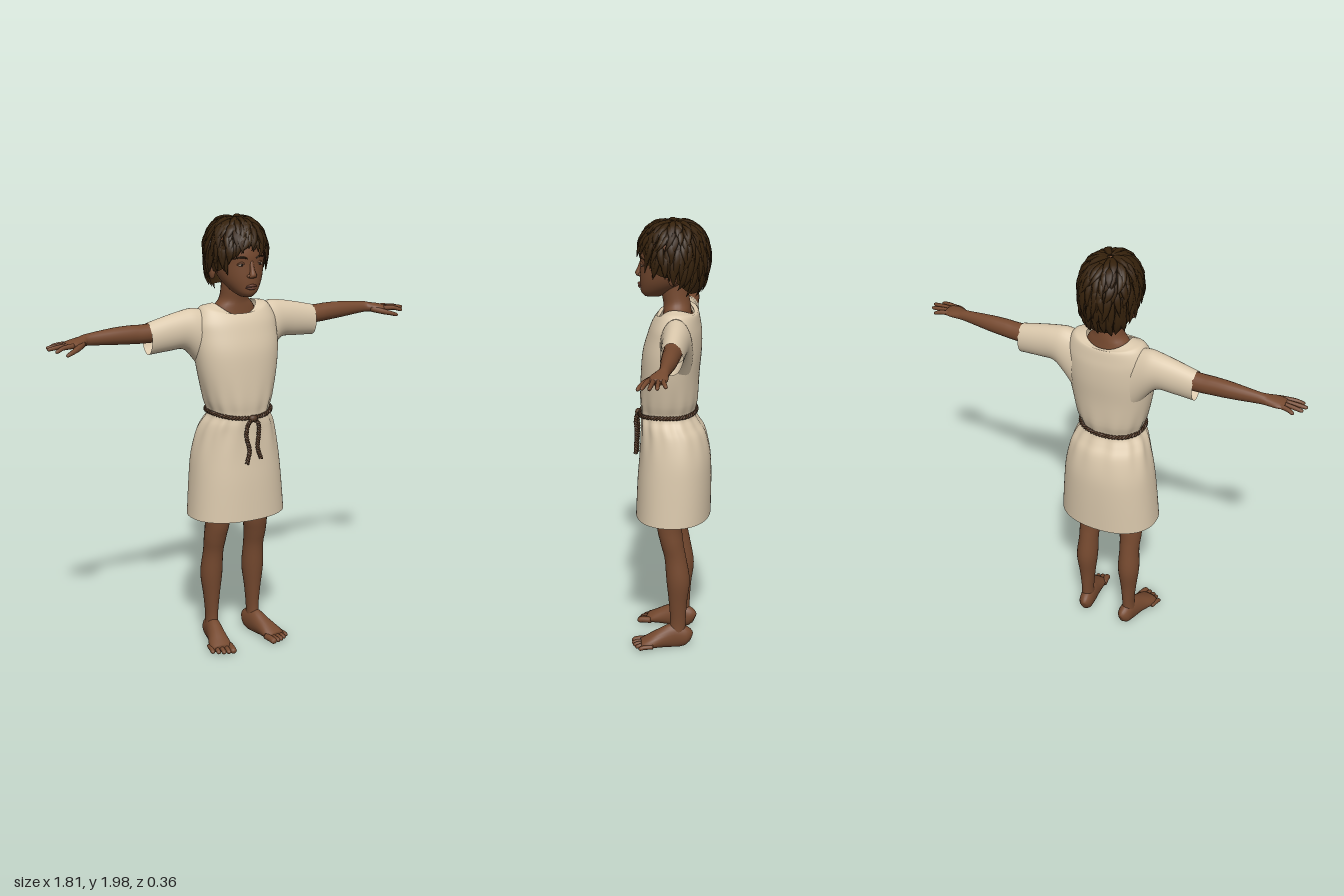
import * as THREE from 'three';
import { mergeGeometries } from 'three/addons/utils/BufferGeometryUtils.js';

const V = (x, y, z) => new THREE.Vector3(x, y, z);
const mat = (name, color, side = THREE.FrontSide) => {
  const m = new THREE.MeshStandardMaterial({ color, side });
  m.name = name;
  return m;
};

// Catmull-Rom refinement of rows of numbers
function smooth(rows, k) {
  const out = [];
  const at = (i) => rows[Math.max(0, Math.min(rows.length - 1, i))];
  for (let i = 0; i < rows.length - 1; i++) {
    for (let s = 0; s < k; s++) {
      const t = s / k;
      out.push(rows[i].map((p1, c) => {
        const p0 = at(i - 1)[c], p2 = at(i + 1)[c], p3 = at(i + 2)[c];
        return p1 + 0.5 * t * (p2 - p0 + t * (2 * p0 - 5 * p1 + 4 * p2 - p3 + t * (3 * (p1 - p2) + p3 - p0)));
      }));
    }
  }
  out.push(rows[rows.length - 1]);
  return out;
}

// Skin closed rings of points, with optional end caps
function loft(rings, capped = true) {
  const n = rings[0].length, pos = [], idx = [];
  rings.forEach((r) => r.forEach((p) => pos.push(p.x, p.y, p.z)));
  for (let i = 0; i < rings.length - 1; i++) {
    for (let j = 0; j < n; j++) {
      const a = i * n + j, b = i * n + (j + 1) % n, c = a + n, d = b + n;
      idx.push(a, c, b, b, c, d);
    }
  }
  if (capped) {
    [0, rings.length - 1].forEach((ri) => {
      const m = rings[ri].reduce((s, p) => s.add(p), V(0, 0, 0)).divideScalar(n);
      const ci = pos.length / 3;
      pos.push(m.x, m.y, m.z);
      for (let j = 0; j < n; j++) {
        const a = ri * n + j, b = ri * n + (j + 1) % n;
        if (ri === 0) idx.push(ci, a, b); else idx.push(ci, b, a);
      }
    });
  }
  const g = new THREE.BufferGeometry();
  g.setAttribute('position', new THREE.Float32BufferAttribute(pos, 3));
  g.setIndex(idx);
  g.computeVertexNormals();
  return g;
}

// Sweep an ellipse through stations [x, y, z, sideRadius, upRadius]
function sweep(stations, { up = V(0, 1, 0), n = 12, k = 4, capped = true, axis = null, floor = -1 } = {}) {
  const st = smooth(stations, k), P = st.map((s) => V(s[0], s[1], s[2]));
  return loft(st.map((s, i) => {
    const t = axis || P[Math.min(i + 1, P.length - 1)].clone().sub(P[Math.max(i - 1, 0)]).normalize();
    const u = t.clone().cross(up).normalize(), v = u.clone().cross(t);
    return Array.from({ length: n }, (_, j) => {
      const a = j / n * Math.PI * 2;
      const p = P[i].clone().addScaledVector(u, s[3] * Math.cos(a)).addScaledVector(v, s[4] * Math.sin(a));
      p.y = Math.max(p.y, floor);
      return p;
    });
  }), capped);
}

// Horizontal ring from [y, halfWidth, zFront, zBack, frontDip, backDip]
const pw = (v, e) => Math.sign(v) * Math.abs(v) ** e;
function ringY([y, w, zf, zb, df = 0, db = 0], n, e = 1, fold = 0) {
  return Array.from({ length: n }, (_, j) => {
    const a = j / n * Math.PI * 2, s = Math.sin(a), c = Math.cos(a);
    const r = 1 + fold * (Math.cos(13 * a) + 0.6 * Math.sin(8 * a));
    return V(w * r * pw(c, e), y - (s > 0 ? df : db) * s * s, (zf + zb) / 2 + (zf - zb) / 2 * r * pw(s, e));
  });
}

function mirrored(g) {
  const m = g.clone().scale(-1, 1, 1), ix = m.index.array;
  for (let i = 0; i < ix.length; i += 3) [ix[i], ix[i + 1]] = [ix[i + 1], ix[i]];
  return m;
}

const ball = (x, y, z, rx, ry, rz) => new THREE.SphereGeometry(1, 16, 12).scale(rx, ry, rz).translate(x, y, z);

export function createModel() {
  const skin = mat('skin', 0x75492f), cloth = mat('linen', 0xdac8ac, THREE.DoubleSide);
  const hairMat = mat('hair', 0x35210b, THREE.DoubleSide), ropeMat = mat('rope', 0x543a28);
  const lipMat = mat('lips', 0x643a2a), eyeMat = mat('eye white', 0x9c8672), irisMat = mat('iris', 0x21140d);
  const model = new THREE.Group();
  const add = (name, g, m) => {
    const mesh = new THREE.Mesh(g, m);
    mesh.name = name;
    model.add(mesh);
  };
  const pair = (name, g, m) => {
    add('left' + name, g, m);
    add('right' + name, mirrored(g), m);
  };

  // Tunic, gathered at the waist and open at collar and hem
  const tunic = [
    [0.63, 0.23, 0.165, -0.175, 0, 0], [0.8, 0.217, 0.157, -0.177, 0, 0], [0.92, 0.204, 0.147, -0.172, 0, 0],
    [1.02, 0.182, 0.141, -0.15, 0, 0], [1.07, 0.163, 0.14, -0.12, 0, 0], [1.115, 0.14, 0.138, -0.1, 0, 0],
    [1.18, 0.16, 0.143, -0.114, 0, 0], [1.3, 0.187, 0.139, -0.121, 0, 0], [1.4, 0.2, 0.13, -0.13, 0, 0],
    [1.48, 0.2, 0.108, -0.13, 0, 0], [1.53, 0.195, 0.09, -0.123, 0, 0], [1.585, 0.165, 0.07, -0.115, 0.025, 0.015],
    [1.597, 0.13, 0.062, -0.105, 0.04, 0.025], [1.602, 0.1, 0.055, -0.095, 0.05, 0.03]];
  add('tunic', loft(smooth(tunic, 4).map((r) =>
    ringY(r, 96, 0.9, 0.022 * Math.exp(-(((r[0] - 1.09) / 0.11) ** 2)))), false), cloth);
  pair('Sleeve', sweep([[0.14, 1.425, -0.03, 0.075, 0.15], [0.2, 1.475, -0.035, 0.068, 0.112],
    [0.25, 1.495, -0.037, 0.06, 0.086], [0.32, 1.488, -0.037, 0.054, 0.079],
    [0.42, 1.473, -0.037, 0.048, 0.07]], { n: 32, axis: V(1, 0, 0), capped: false }), cloth);

  // Twisted rope belt, knot and hanging tails
  const twist = (curve, turns, closed) => [0, Math.PI].map((ph) => {
    const N = turns * 8, pts = [];
    for (let i = 0; i < N + (closed ? 0 : 1); i++) {
      const p = curve.getPointAt(i / N), t = curve.getTangentAt(i / N);
      const u = t.clone().cross(Math.abs(t.y) > 0.7 ? V(0, 0, 1) : V(0, 1, 0)).normalize();
      const a = i / 8 * Math.PI * 2 + ph;
      pts.push(p.addScaledVector(u, 0.005 * Math.cos(a)).addScaledVector(u.cross(t), 0.005 * Math.sin(a)));
    }
    return new THREE.TubeGeometry(new THREE.CatmullRomCurve3(pts, closed), N * 2, 0.0055, 5, closed);
  });
  const waist = ringY([1.122, 0.147, 0.147, -0.107, 0.016, 0], 24, 0.9);
  add('ropeBelt', mergeGeometries(twist(new THREE.CatmullRomCurve3(waist, true), 30, true)), ropeMat);
  const tail = (xs) => new THREE.CatmullRomCurve3(xs.map(([x, y, z]) => V(x, y, z)));
  add('ropeTails', mergeGeometries([
    ...twist(tail([[0, 1.105, 0.155], [-0.03, 1.08, 0.163], [-0.037, 1.03, 0.16], [-0.022, 0.96, 0.162], [-0.036, 0.9, 0.164]]), 9),
    ...twist(tail([[0, 1.105, 0.155], [0.022, 1.08, 0.163], [0.026, 1.03, 0.16], [0.02, 0.97, 0.162], [0.037, 0.915, 0.164]]), 9)]), ropeMat);
  add('ropeKnot', ball(0, 1.104, 0.155, 0.02, 0.016, 0.014), ropeMat);

  // Neck and head
  add('neck', sweep([[0, 1.5, -0.025, 0.13, 0.07], [0, 1.58, -0.022, 0.097, 0.062], [0, 1.615, -0.02, 0.069, 0.06],
    [0, 1.66, -0.012, 0.062, 0.06], [0, 1.75, 0, 0.062, 0.06]], { up: V(0, 0, 1), axis: V(0, 1, 0), n: 24 }), skin);
  const head = [[1.643, 0.025, 0.122, 0.05], [1.662, 0.052, 0.138, 0.01], [1.7, 0.082, 0.142, -0.05],
    [1.74, 0.1, 0.142, -0.09], [1.79, 0.111, 0.14, -0.115], [1.83, 0.117, 0.141, -0.13], [1.88, 0.117, 0.13, -0.13],
    [1.93, 0.094, 0.1, -0.11], [1.962, 0.05, 0.045, -0.06]];
  add('head', loft(smooth(head, 4).map((r) => ringY(r, 40))), skin);
  add('nose', sweep([[0, 1.805, 0.132, 0.009, 0.008], [0, 1.77, 0.142, 0.01, 0.011], [0, 1.746, 0.149, 0.015, 0.015],
    [0, 1.734, 0.146, 0.018, 0.012], [0, 1.728, 0.14, 0.008, 0.005]], { up: V(0, 0, 1), axis: V(0, -1, 0) }), skin);
  pair('Nostril', ball(0.015, 1.739, 0.14, 0.009, 0.008, 0.01), skin);
  pair('Ear', ball(0.113, 1.745, -0.012, 0.013, 0.034, 0.02).rotateX(0), skin);
  pair('Eye', ball(0.045, 1.788, 0.125, 0.016, 0.007, 0.008), eyeMat);
  pair('Iris', ball(0.045, 1.788, 0.1305, 0.006, 0.006, 0.0035), irisMat);
  pair('Eyelid', sweep([[0.026, 1.79, 0.131, 0.002, 0.002], [0.045, 1.797, 0.13, 0.005, 0.005],
    [0.065, 1.789, 0.12, 0.002, 0.002]], { n: 8 }), skin);
  pair('Eyebrow', sweep([[0.022, 1.815, 0.138, 0.003, 0.003], [0.045, 1.822, 0.132, 0.004, 0.004],
    [0.075, 1.814, 0.112, 0.002, 0.002]], { n: 8 }), hairMat);
  [[1.697, 0.0065, 0.145], [1.684, 0.0075, 0.143]].forEach(([y, r, z], i) => add(i ? 'lowerLip' : 'upperLip',
    sweep([[-0.033, 1.69, 0.128, 0.002, 0.002], [0, y, z, 0.009, r], [0.033, 1.69, 0.128, 0.002, 0.002]], { n: 10 }), lipMat));

  // Hair cap with layered pointed locks
  let seed = 7;
  const rnd = () => (seed = (seed * 16807) % 2147483647) / 2147483647;
  const scalp = (th, ph, s) => {
    const c = Math.cos(ph), q = Math.sin(ph) ** (c > 0 ? 0.8 : 0.6);
    return V(0.13 * s * q * Math.cos(th), 1.83 + (c > 0 ? 0.15 * s : 0.215) * c, -0.006 + 0.155 * s * q * Math.sin(th));
  };
  const edge = (th) => {
    const s = Math.sin(th);
    return THREE.MathUtils.degToRad(s > 0 ? 112 - 38 * s ** 3 : 112 + 26 * Math.min(1, -s * 1.5));
  };
  const capRings = [];
  for (let i = 14; i >= 0; i--) {
    capRings.push(Array.from({ length: 48 }, (_, j) => {
      const th = j / 48 * Math.PI * 2;
      return scalp(th, 0.02 + (edge(th) - 0.02) * i / 14, 0.95);
    }));
  }
  add('hairCap', loft(capRings, false), hairMat);
  const locks = [];
  for (let row = 0; row < 7; row++) {
    const count = row === 0 ? 10 : 26;
    for (let j = 0; j < count; j++) {
      const th = (j + rnd() * 0.8) / count * Math.PI * 2, lim = edge(th);
      const p0 = lim * (0.03 + row * 0.115), p1 = Math.min(p0 + 0.6 + rnd() * 0.3, lim + 0.02 + rnd() * 0.16);
      const sway = (rnd() - 0.35) * 0.45, lift = 1.015 + rnd() * 0.05, w = 0.013 + rnd() * 0.006;
      const st = [0, 0.35, 0.7, 1].map((t, q) => {
        const p = scalp(th + sway * t * t, p0 + (p1 - p0) * t, 0.965 + (lift - 0.965) * Math.sin(t * 1.7));
        return [p.x, p.y, p.z, w * [0.6, 1, 0.75, 0.06][q], 0.007 * [0.6, 1, 0.8, 0.1][q]];
      });
      const mid = scalp(th, (p0 + p1) / 2, 1).sub(V(0, 1.82, 0)).normalize();
      locks.push(sweep(st, { up: mid, n: 6, k: 2 }));
    }
  }
  add('hairLocks', mergeGeometries(locks), hairMat);

  // Arms, hands and fingers
  pair('Arm', sweep([[0.15, 1.5, -0.04, 0.045, 0.05], [0.42, 1.497, -0.04, 0.04, 0.042], [0.5, 1.5, -0.04, 0.037, 0.041],
    [0.58, 1.502, -0.04, 0.033, 0.037], [0.7, 1.502, -0.037, 0.023, 0.026], [0.735, 1.499, -0.03, 0.03, 0.022],
    [0.78, 1.495, -0.02, 0.041, 0.018], [0.815, 1.492, -0.016, 0.037, 0.012]], { n: 20 }), skin);
  const digits = [[0.014, 0.88, 1.481, 0.034], [-0.004, 0.903, 1.487, 0.002], [-0.023, 0.895, 1.487, -0.028], [-0.041, 0.866, 1.485, -0.058]];
  const fingers = digits.map(([z, x, y, tz]) => sweep([[0.79, 1.494, z, 0.011, 0.012],
    [(0.8 + x) / 2, 1.493, (z + tz) / 2, 0.0095, 0.01], [x - 0.008, y + 0.002, tz, 0.008, 0.008], [x, y, tz, 0.003, 0.003]], { n: 8 }));
  fingers.push(sweep([[0.735, 1.493, -0.01, 0.014, 0.014], [0.775, 1.483, 0.025, 0.013, 0.013],
    [0.81, 1.474, 0.046, 0.01, 0.01], [0.833, 1.467, 0.055, 0.008, 0.008], [0.841, 1.465, 0.057, 0.003, 0.003]], { n: 8 }));
  pair('Fingers', mergeGeometries(fingers), skin);

  // Legs, bare feet and toes
  pair('Leg', sweep([[0.095, 0.98, 0, 0.075, 0.08], [0.098, 0.63, 0.005, 0.059, 0.06], [0.105, 0.52, -0.007, 0.052, 0.053],
    [0.107, 0.44, -0.024, 0.046, 0.05], [0.11, 0.33, -0.037, 0.05, 0.054], [0.11, 0.22, -0.036, 0.037, 0.042],
    [0.11, 0.12, -0.036, 0.028, 0.036], [0.112, 0.05, -0.03, 0.032, 0.04]], { up: V(0, 0, 1), n: 24, axis: V(0, -1, 0) }), skin);
  pair('Foot', sweep([[0.1, 0.038, -0.096, 0.012, 0.025], [0.104, 0.045, -0.075, 0.031, 0.046], [0.112, 0.05, -0.02, 0.036, 0.062],
    [0.125, 0.04, 0.04, 0.042, 0.046], [0.139, 0.026, 0.095, 0.051, 0.029], [0.145, 0.018, 0.13, 0.045, 0.018]], { n: 24, floor: 0 }), skin);
  pair('Toes', mergeGeometries([0, 1, 2, 3, 4].map((i) => {
    const r = i ? 0.0105 : 0.015, x = 0.108 + i * 0.021 - (i ? 0 : 0.002), z = 0.178 - 0.0025 * i * i;
    return sweep([[x - 0.008, 0.02, z - 0.065, r, r], [x, 0.018, z - 0.025, r, r],
      [x + 0.003, 0.013, z - 0.007, r, r * 0.85], [x + 0.004, 0.011, z, r * 0.4, r * 0.4]], { n: 10, floor: 0 });
  })), skin);

  return model;
}
